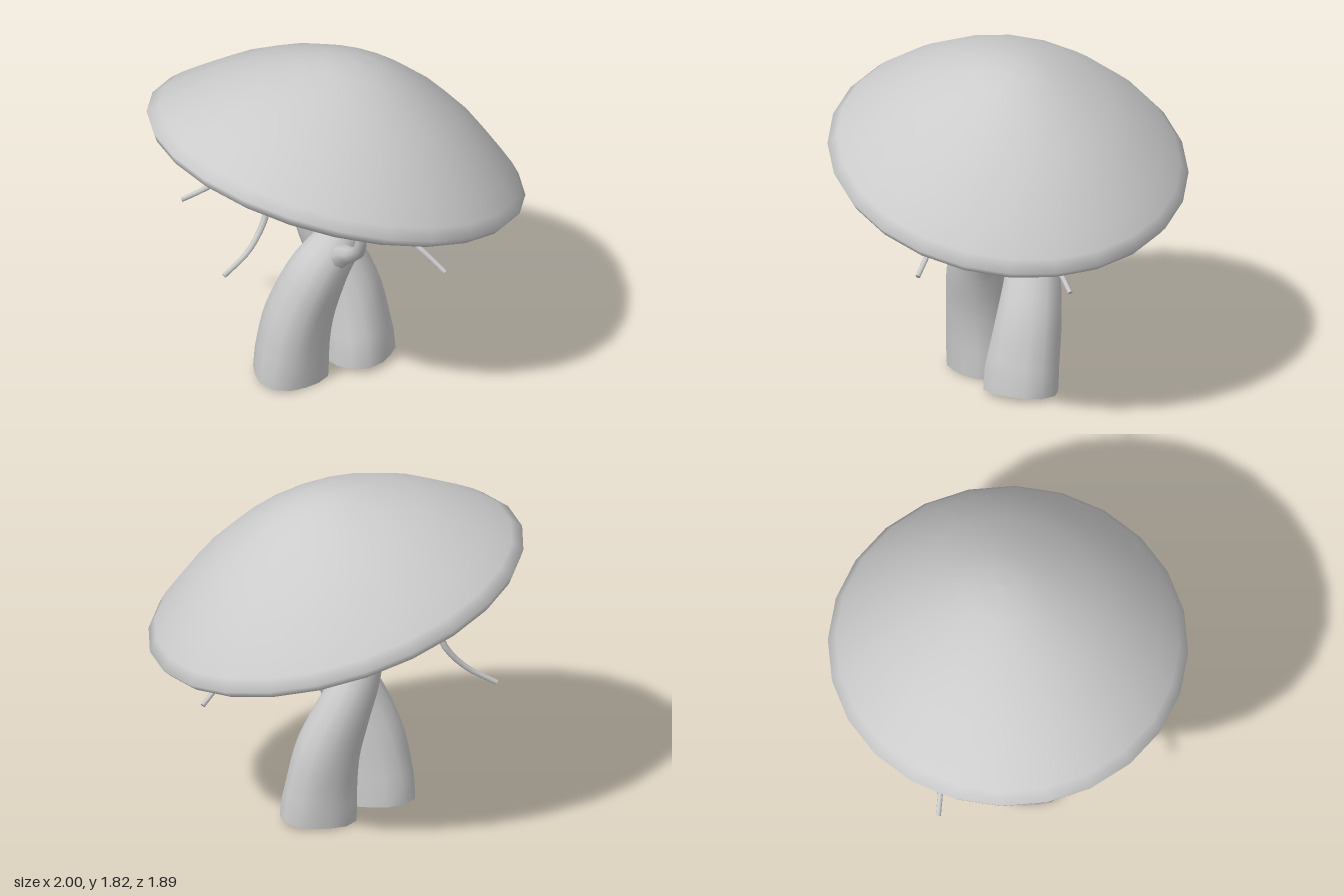
import * as THREE from 'three';
import { toCreasedNormals } from 'three/addons/utils/BufferGeometryUtils.js';

const material = new THREE.MeshStandardMaterial({ color: 0xcccccc, side: THREE.DoubleSide });

// Tapering limb through points [x, y, z, radius], closed at both ends, optionally fluted at the foot
function limb(name, pts, sides, steps, flute = 0) {
  const curve = new THREE.CatmullRomCurve3(pts.map(p => new THREE.Vector3(p[0], p[1], p[2])));
  const geo = new THREE.TubeGeometry(curve, steps, 1, sides, false);
  const pos = geo.attributes.position;
  const v = new THREE.Vector3();
  for (let i = 0; i <= steps; i++) {
    const u = i / steps;
    const t = curve.getUtoTmapping(u) * (pts.length - 1);
    const k = Math.min(Math.floor(t), pts.length - 2);
    const r = THREE.MathUtils.lerp(pts[k][3], pts[k + 1][3], t - k);
    const centre = curve.getPointAt(u);
    // the rings next to the ends move out to the ends, and the end rings close to a point
    const target = i === 1 ? curve.getPointAt(0) : i === steps - 1 ? curve.getPointAt(1) : centre;
    const closed = i === 0 || i === steps;
    for (let j = 0; j <= sides; j++) {
      const n = i * (sides + 1) + j;
      const a = (j / sides) * Math.PI * 2;
      const wave = 1 + flute * (1 - u) ** 2 * Math.sin(3 * a + 2 * u + 1);
      v.fromBufferAttribute(pos, n).sub(centre).multiplyScalar(closed ? 0 : r * wave).add(target);
      pos.setXYZ(n, v.x, v.y, v.z);
    }
  }
  const mesh = new THREE.Mesh(toCreasedNormals(geo, 1.0), material);
  mesh.name = name;
  return mesh;
}

export function createModel() {
  const model = new THREE.Group();
  model.name = 'mushroomTree';

  // Tilted oval cap: domed top, rounded lip, hollow underside
  const profile = [
    [0, 0.07], [0.4, 0.05], [0.75, 0], [0.91, -0.055], [0.965, -0.068], [1.01, -0.045],
    [1.04, 0.0], [0.99, 0.055], [0.9, 0.135], [0.75, 0.255], [0.57, 0.37], [0.38, 0.46],
    [0.22, 0.52], [0.1, 0.543], [0, 0.547],
  ].map(p => new THREE.Vector2(p[0], p[1]));
  const cap = new THREE.Mesh(new THREE.LatheGeometry(profile, 24), material);
  cap.name = 'cap';
  cap.scale.z = 0.945 / 1.04;
  cap.rotation.z = -0.28;
  cap.position.y = 1.258;
  model.add(cap);

  // Two trunks that cross as they rise
  model.add(limb('frontTrunk', [
    [-0.275, 0.01, 0.05, 0.2], [-0.27, 0.1, 0.055, 0.2], [-0.235, 0.35, 0.08, 0.185],
    [-0.14, 0.63, 0.125, 0.16], [-0.02, 0.82, 0.135, 0.125], [0.06, 0.98, 0.12, 0.1],
    [0.085, 1.15, 0.11, 0.09], [0.09, 1.36, 0.1, 0.09],
  ], 14, 28, 0.09));
  model.add(limb('backTrunk', [
    [0.135, 0.01, -0.045, 0.2], [0.13, 0.1, -0.05, 0.2], [0.1, 0.38, -0.09, 0.175],
    [0.02, 0.62, -0.13, 0.145], [-0.06, 0.8, -0.14, 0.12], [-0.105, 0.98, -0.13, 0.1],
    [-0.12, 1.15, -0.12, 0.085], [-0.13, 1.4, -0.11, 0.085],
  ], 14, 28, 0.09));

  // Branches that reach up to the cap
  const branches = {
    frontBranch: [[-0.06, 0.72, 0.17, 0.08], [-0.04, 0.81, 0.29, 0.055], [-0.03, 0.88, 0.42, 0.038],
      [-0.03, 1.0, 0.55, 0.033], [-0.04, 1.24, 0.6, 0.025]],
    sideBranch: [[-0.1, 1.1, -0.13, 0.07], [-0.22, 1.14, -0.16, 0.05], [-0.37, 1.16, -0.2, 0.04],
      [-0.47, 1.24, -0.22, 0.035], [-0.54, 1.4, -0.2, 0.03]],
    sideTwig: [[-0.36, 1.16, -0.2, 0.035], [-0.42, 1.22, -0.29, 0.028], [-0.42, 1.38, -0.34, 0.02]],
    backBranch: [[-0.04, 0.9, -0.17, 0.06], [0.1, 0.95, -0.24, 0.05], [0.2, 0.97, -0.24, 0.042],
      [0.26, 1.05, -0.24, 0.032], [0.3, 1.2, -0.22, 0.025]],
    crownBranch: [[-0.11, 1.0, -0.14, 0.06], [-0.03, 1.1, -0.17, 0.045], [0.0, 1.32, -0.18, 0.035]],
  };
  for (const [name, pts] of Object.entries(branches)) model.add(limb(name, pts, 8, 14));

  // Thin roots hanging from the underside of the cap
  const tendrils = [
    [[-0.34, 1.36, 0.16], [-0.41, 1.18, 0.17], [-0.45, 1.03, 0.19], [-0.55, 0.89, 0.24], [-0.7, 0.79, 0.29]],
    [[-0.38, 1.37, -0.38], [-0.4, 1.2, -0.41], [-0.41, 1.05, -0.44], [-0.53, 0.9, -0.47], [-0.69, 0.8, -0.52]],
    [[0.21, 1.22, 0.4], [0.2, 1.07, 0.42], [0.25, 0.97, 0.46], [0.34, 0.88, 0.53], [0.42, 0.8, 0.6]],
    [[0.5, 1.14, -0.02], [0.57, 1.02, -0.04], [0.64, 0.93, -0.06], [0.73, 0.87, -0.09], [0.83, 0.79, -0.12]],
  ];
  tendrils.forEach((path, i) => {
    const pts = path.map((p, k) => [...p, 0.023 - k * 0.0025]);
    model.add(limb('hangingRoot' + (i + 1), pts, 7, 14));
  });

  return model;
}
